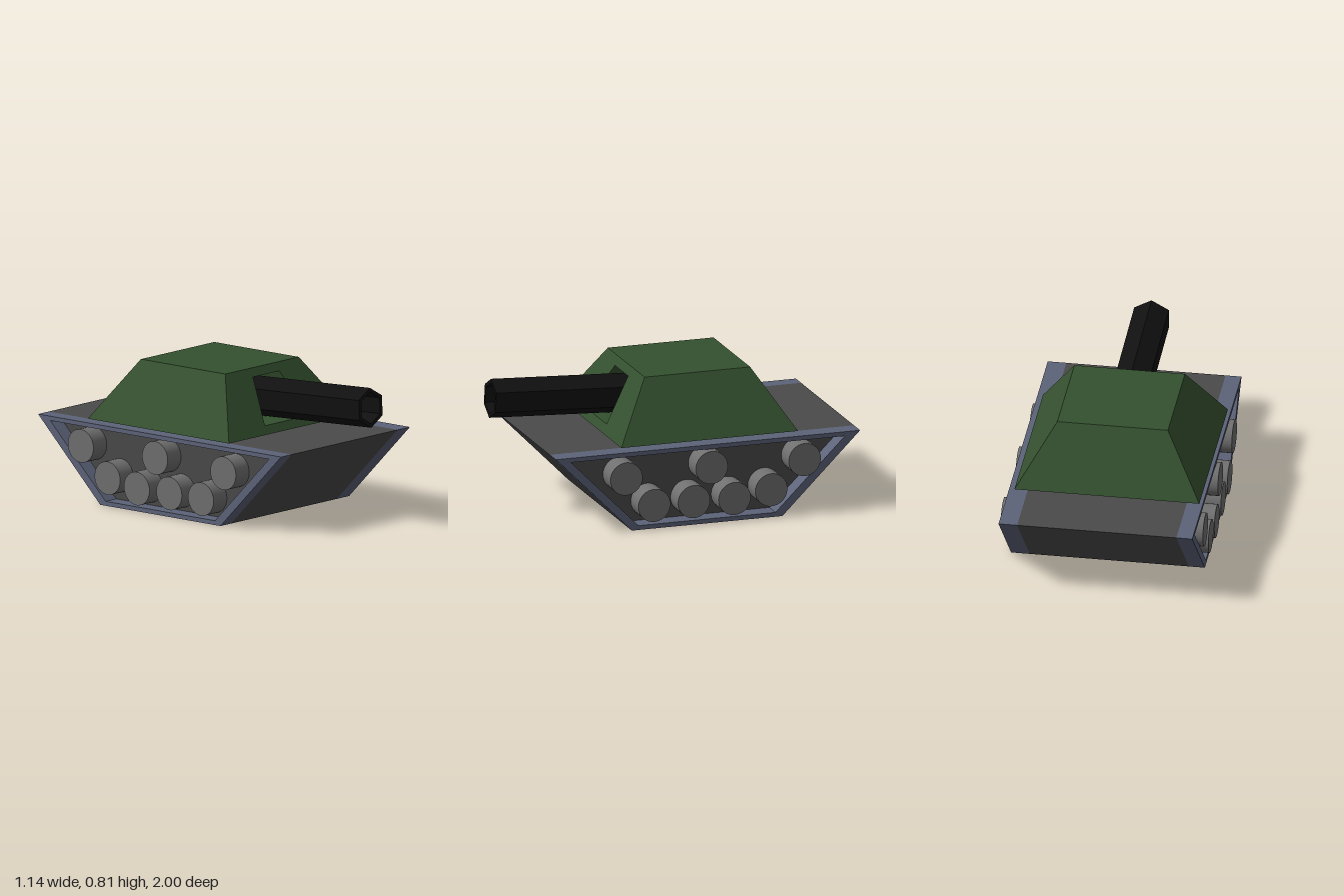
import * as THREE from 'three';

const CX = -0.01; // the body sits a touch off centre

const paint = (color, extra = {}) => new THREE.MeshStandardMaterial({ color, ...extra });

// Shape in (z, y) from corner points
const outline = (pts, Type = THREE.Shape) => new Type(pts.map(([z, y]) => new THREE.Vector2(z, y)));

// Extrudes a side profile across x, from x0 to x1
function sidePrism(shape, x0, x1) {
  const geo = new THREE.ExtrudeGeometry(shape, { depth: x1 - x0, bevelEnabled: false });
  geo.rotateY(-Math.PI / 2);
  geo.translate(x1, 0, 0);
  return geo;
}

// Flat-faced geometry from a list of four-cornered faces
function fromQuads(quads) {
  const pos = [];
  for (const [a, b, c, d] of quads) pos.push(...a, ...b, ...c, ...a, ...c, ...d);
  const geo = new THREE.BufferGeometry();
  geo.setAttribute('position', new THREE.Float32BufferAttribute(pos, 3));
  geo.computeVertexNormals();
  return geo;
}

// Quads joining two four-cornered rings
const band = (p, q) => p.map((_, i) => {
  const j = (i + 1) % 4;
  return [p[i], p[j], q[j], q[i]];
});

function turretGeometry() {
  const ring = (x0, x1, y, zf, zb) => [[x0, y, zf], [x1, y, zf], [x1, y, zb], [x0, y, zb]];
  const base = ring(-0.535, 0.51, 0.475, 0.4, -0.645);
  const roof = ring(-0.325, 0.3, 0.81, 0.19, -0.435);
  const frontZ = (y) => 0.4 - 0.21 * (y - 0.475) / 0.335;

  // Gun opening in the sloping front, pushed straight back
  const opening = (low, high, y0, y1, depth) => [
    [CX - low, y0, frontZ(y0) - depth], [CX + low, y0, frontZ(y0) - depth],
    [CX + high, y1, frontZ(y1) - depth], [CX - high, y1, frontZ(y1) - depth],
  ];
  const mouth = opening(0.186, 0.112, 0.52, 0.765, 0);
  const recess = opening(0.182, 0.106, 0.52, 0.755, 0.2);
  const front = [base[0], base[1], roof[1], roof[0]];

  return fromQuads([
    ...band(base, roof).slice(1),
    roof,
    [...base].reverse(),
    ...band(front, mouth),
    ...band(mouth, recess),
    recess,
  ]);
}

export function createModel() {
  const model = new THREE.Group();
  const add = (name, geo, mat, parent = model) => {
    const mesh = new THREE.Mesh(geo, mat);
    mesh.name = name;
    parent.add(mesh);
    return mesh;
  };

  const hullPaint = paint(0x4a4a4a);
  const trackPaint = paint(0x5d6379);
  const wheelPaint = paint(0x707070);
  const turretPaint = paint(0x34502f);
  const gunPaint = paint(0x101010, { flatShading: true });

  // Hull between the tracks
  const profile = [[0.35, 0], [0.8, 0.455], [-1, 0.455], [-0.54, 0]];
  add('hull', sidePrism(outline(profile), -0.46, 0.44), hullPaint);

  // Track frames, open on the outside, with road wheels inside
  const trackShape = outline(profile);
  trackShape.holes.push(outline([[0.31, 0.025], [0.71, 0.43], [-0.91, 0.43], [-0.5, 0.025]], THREE.Path));
  const wheelSpots = [
    [0.39, 0.31], [0.225, 0.14], [-0.01, 0.14], [-0.115, 0.328],
    [-0.25, 0.135], [-0.467, 0.165], [-0.665, 0.322],
  ];
  const wheelGeo = new THREE.CylinderGeometry(0.095, 0.095, 0.14, 32).rotateZ(Math.PI / 2);
  for (const [side, x0, x1, wheelX] of [['left', 0.44, 0.545, 0.499], ['right', -0.55, -0.46, -0.503]]) {
    const track = new THREE.Group();
    track.name = `${side}Track`;
    model.add(track);
    add('trackFrame', sidePrism(trackShape, x0, x1), trackPaint, track);
    for (const [z, y] of wheelSpots) add('roadWheel', wheelGeo, wheelPaint, track).position.set(wheelX, y, z);
  }

  // Turret floating just above the hull
  add('turret', turretGeometry(), turretPaint);

  // Six-sided gun barrel with a hollow bore, origin at the muzzle
  const barrelProfile = [[0, -0.88], [0.113, -0.88], [0.113, 0], [0.09, 0], [0.09, -0.3], [0, -0.3]]
    .map(([r, y]) => new THREE.Vector2(r, y));
  const barrel = add('gunBarrel', new THREE.LatheGeometry(barrelProfile, 6), gunPaint);
  barrel.rotation.x = Math.PI / 2 - 0.05;
  barrel.position.set(-0.012, 0.678, 0.995);

  return model;
}
